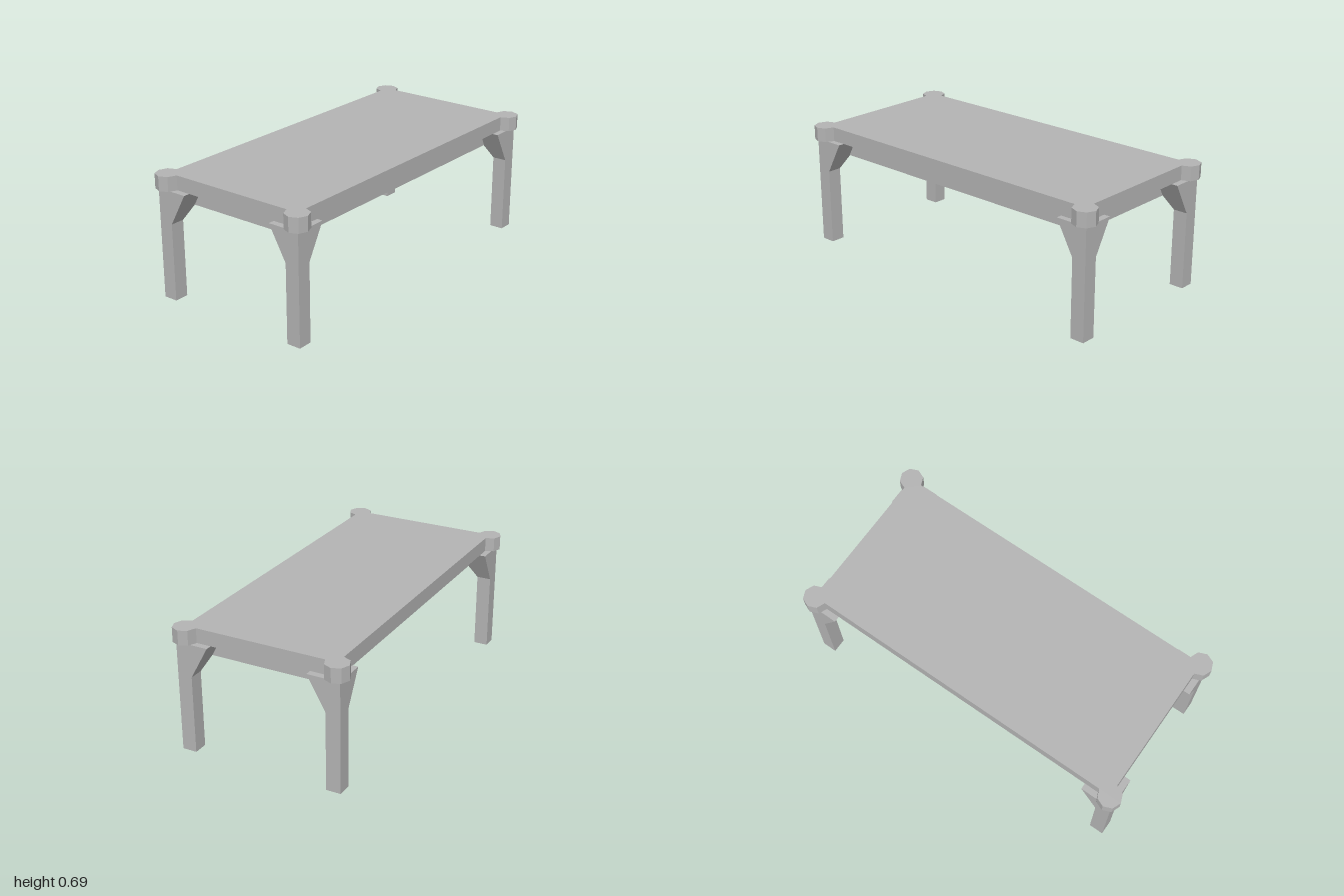
import * as THREE from 'three';

const HALF_X = 0.427, HALF_Z = 0.935;   // table top, out to the corner knob centres
const TOP_Y = 0.69, UNDER_Y = 0.61;
const KNOB_R = 0.065;

// Slab with an octagonal knob on each corner, as one outline
function tableTopGeometry() {
  const points = [];
  [[1, 1], [-1, 1], [-1, -1], [1, -1]].forEach(([sx, sy], corner) => {
    for (let i = 0; i <= 6; i++) {
      const a = (corner - 1) * Math.PI / 2 + i * Math.PI / 4;
      points.push(new THREE.Vector2(
        sx * HALF_X + KNOB_R * Math.cos(a),
        sy * HALF_Z + KNOB_R * Math.sin(a)));
    }
  });
  const geo = new THREE.ExtrudeGeometry(new THREE.Shape(points),
    { depth: TOP_Y - UNDER_Y, bevelEnabled: false });
  return geo.rotateX(-Math.PI / 2).translate(0, UNDER_Y, 0);
}

// Square leg whose two inner sides flare out under the top
function legGeometry(sx, sz) {
  const geo = new THREE.BoxGeometry(1, 1, 1, 1, 2, 1).toNonIndexed();
  const p = geo.attributes.position;
  for (let i = 0; i < p.count; i++) {
    const row = Math.round((p.getY(i) + 0.5) * 2);
    const width = row === 2 ? 0.18 : 0.08;
    const x = p.getX(i) * sx > 0 ? 0.46 : 0.46 - width;
    const z = p.getZ(i) * sz > 0 ? 0.97 : 0.97 - width;
    p.setXYZ(i, sx * x, [0, 0.43, UNDER_Y][row], sz * z);
  }
  geo.computeVertexNormals();
  return geo;
}

export function createModel() {
  const table = new THREE.Group();
  table.name = 'table';
  const grey = new THREE.MeshStandardMaterial({ color: 0xb4b4b4 });
  grey.name = 'grey';

  const add = (name, geometry) => {
    const mesh = new THREE.Mesh(geometry, grey);
    mesh.name = name;
    table.add(mesh);
  };

  add('tableTop', tableTopGeometry());

  // Solid apron block set in beneath the top
  add('apron', new THREE.BoxGeometry(0.68, 0.1, 1.69).translate(0, 0.56, 0));

  for (const sx of [1, -1]) {
    for (const sz of [1, -1]) {
      add((sz > 0 ? 'front' : 'back') + (sx > 0 ? 'Left' : 'Right') + 'Leg', legGeometry(sx, sz));
    }
  }
  return table;
}
